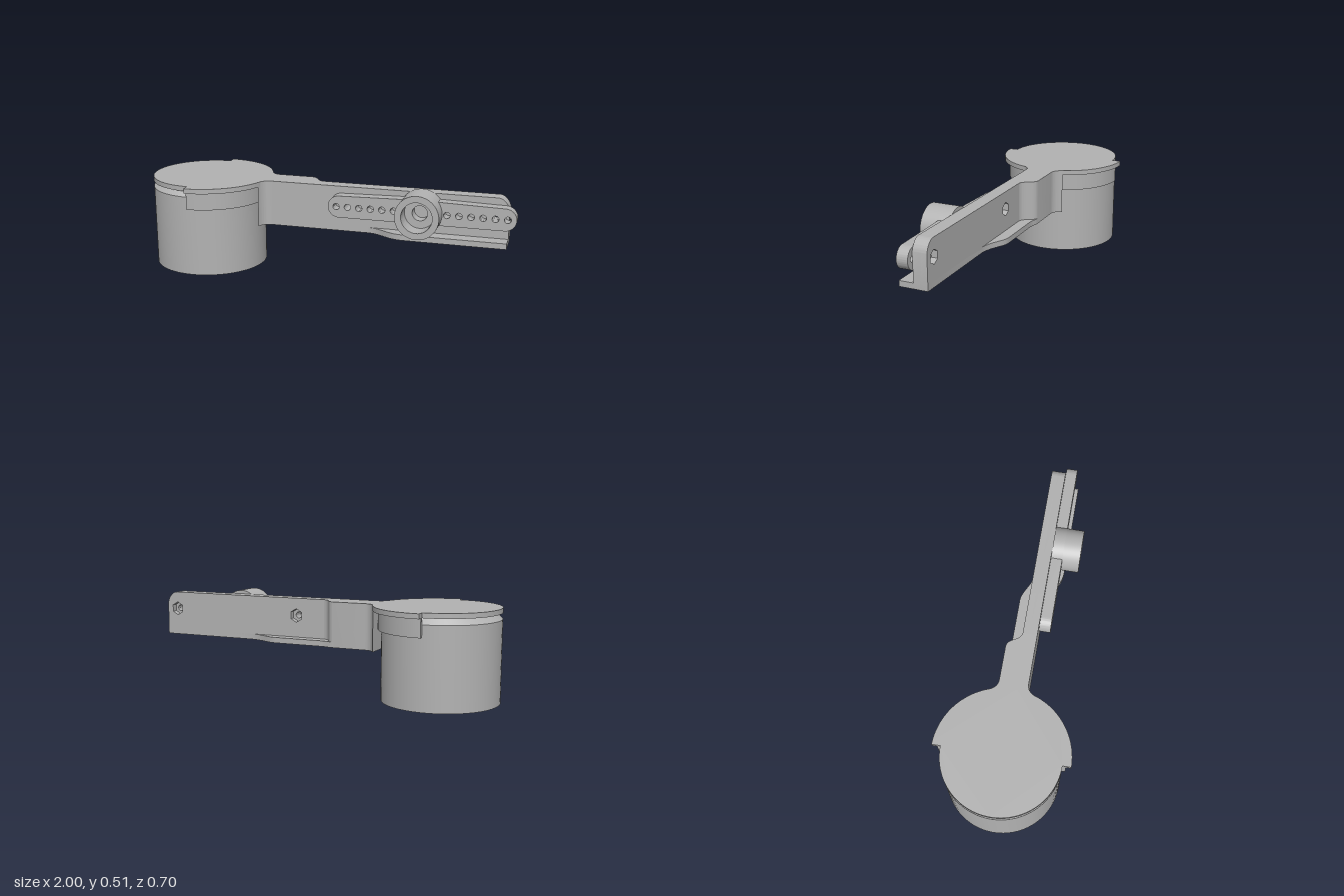
import * as THREE from 'three';
import { toCreasedNormals } from 'three/addons/utils/BufferGeometryUtils.js';

const CX = -0.695;            // motor axis
const HX = 0.51, HY = 0.393;  // horn axis
const BOLTS = [0.127, 0.891]; // bolt positions along the arm

export function createModel() {
  const group = new THREE.Group();
  const grey = new THREE.MeshStandardMaterial({ color: 0xb2b2b2 });
  grey.name = 'grey plastic';

  const add = (name, geometry) => {
    const mesh = new THREE.Mesh(toCreasedNormals(geometry, 0.5), grey);
    mesh.name = name;
    group.add(mesh);
    return mesh;
  };
  const extrude = (shape, depth) =>
    new THREE.ExtrudeGeometry(shape, { depth, bevelEnabled: false, curveSegments: 32 });
  // Plan outline (x, -z) raised from y0 to y1
  const plan = (name, shape, y0, y1) =>
    add(name, extrude(shape, y1 - y0).rotateX(-Math.PI / 2).translate(0, y0, 0));
  // Front outline (x, y) pushed from z0 to z1
  const front = (name, shape, z0, z1) =>
    add(name, extrude(shape, z1 - z0).translate(0, 0, z0));
  const hole = (shape, x, y, r) =>
    shape.holes.push(new THREE.Path().absarc(x, y, r, 0, Math.PI * 2, true));
  const disc = (x, y, r) => new THREE.Shape().absarc(x, y, r, 0, Math.PI * 2, false);

  // Motor drum with chamfered upper rim
  const drum = [[0, 0], [0.305, 0], [0.305, 0.43], [0.27, 0.465], [0, 0.465]]
    .map(([r, y]) => new THREE.Vector2(r, y));
  add('motorDrum', new THREE.LatheGeometry(drum, 72).translate(CX, 0, 0));

  // Cap: narrow on the far half, wide on the arm half
  const cap = new THREE.Shape();
  cap.absarc(CX, 0, 0.35, -Math.PI / 2, Math.PI / 2, false);
  cap.absarc(CX, 0, 0.305, Math.PI / 2, Math.PI * 1.5, false);
  plan('cap', cap, 0.462, 0.488);

  // Half collar gripping the drum
  const collar = new THREE.Shape();
  collar.absarc(CX, 0, 0.323, -Math.PI / 2, Math.PI / 2, false);
  collar.absarc(CX, 0, 0.303, Math.PI / 2, -Math.PI / 2, true);
  plan('collar', collar, 0.367, 0.462);

  // Arm neck: flared at the collar, stepping in at the back
  const neck = new THREE.Shape();
  neck.moveTo(-0.369, -0.122);
  neck.bezierCurveTo(-0.355, -0.09, -0.34, -0.073, -0.305, -0.073);
  neck.lineTo(-0.04, -0.073);
  neck.lineTo(-0.04, 0.003);
  neck.bezierCurveTo(-0.09, 0.01, -0.08, 0.078, -0.13, 0.078);
  neck.lineTo(-0.305, 0.078);
  neck.bezierCurveTo(-0.34, 0.078, -0.355, 0.095, -0.369, 0.122);
  plan('armNeck', neck, 0.245, 0.488);

  // Arm blade with a rounded upper end, bolt holes and hex nut pockets
  const blade = () => {
    const s = new THREE.Shape();
    s.moveTo(-0.04, 0.245);
    s.lineTo(0.955, 0.245);
    s.lineTo(0.955, 0.425);
    s.bezierCurveTo(0.95, 0.455, 0.925, 0.488, 0.895, 0.488);
    s.lineTo(-0.04, 0.488);
    return s;
  };
  const bladeBack = blade(), bladeFront = blade();
  for (const x of BOLTS) {
    const hex = [];
    for (let i = 0; i < 6; i++) {
      const a = -i * Math.PI / 3 + Math.PI / 6;
      hex.push(new THREE.Vector2(x + 0.037 * Math.cos(a), HY + 0.037 * Math.sin(a)));
    }
    bladeBack.holes.push(new THREE.Path(hex));
    hole(bladeFront, x, HY, 0.017);
  }
  front('armBladeBack', bladeBack, -0.003, 0.03);
  front('armBladeFront', bladeFront, 0.03, 0.073);

  // Bottom flange weaving from the back of the arm to its front
  const flange = new THREE.Shape();
  flange.moveTo(-0.13, -0.073);
  flange.lineTo(0.225, -0.073);
  flange.bezierCurveTo(0.31, -0.08, 0.33, -0.148, 0.43, -0.15);
  flange.lineTo(0.955, -0.15);
  flange.lineTo(0.955, 0.003);
  flange.lineTo(0.41, 0.003);
  flange.bezierCurveTo(0.32, 0.01, 0.28, 0.065, 0.22, 0.065);
  flange.lineTo(-0.035, 0.065);
  flange.bezierCurveTo(-0.09, 0.065, -0.09, 0.078, -0.13, 0.078);
  plan('bottomFlange', flange, 0.245, 0.275);

  // Servo horn: tapered plate with a row of holes on each side
  const horn = new THREE.Shape();
  const end = 0.058, reach = 0.4875 - end;
  horn.moveTo(HX, HY - 0.068);
  horn.absarc(HX + reach, HY, end, -Math.PI / 2, Math.PI / 2, false);
  horn.lineTo(HX, HY + 0.068);
  horn.absarc(HX - reach, HY, end, Math.PI / 2, Math.PI * 1.5, false);
  for (const side of [-1, 1])
    for (let i = 0; i < 6; i++) hole(horn, HX + side * (0.138 + i * 0.061), HY, 0.017);
  hole(horn, HX, HY, 0.04);
  front('hornPlate', horn, 0.073, 0.133);

  // Hub with stepped bore
  const hubBase = disc(HX, HY, 0.114);
  hole(hubBase, HX, HY, 0.04);
  front('hubBase', hubBase, 0.073, 0.133);
  const hubRing = disc(HX, HY, 0.114);
  hole(hubRing, HX, HY, 0.08);
  front('hubRing', hubRing, 0.133, 0.226);

  return group;
}
